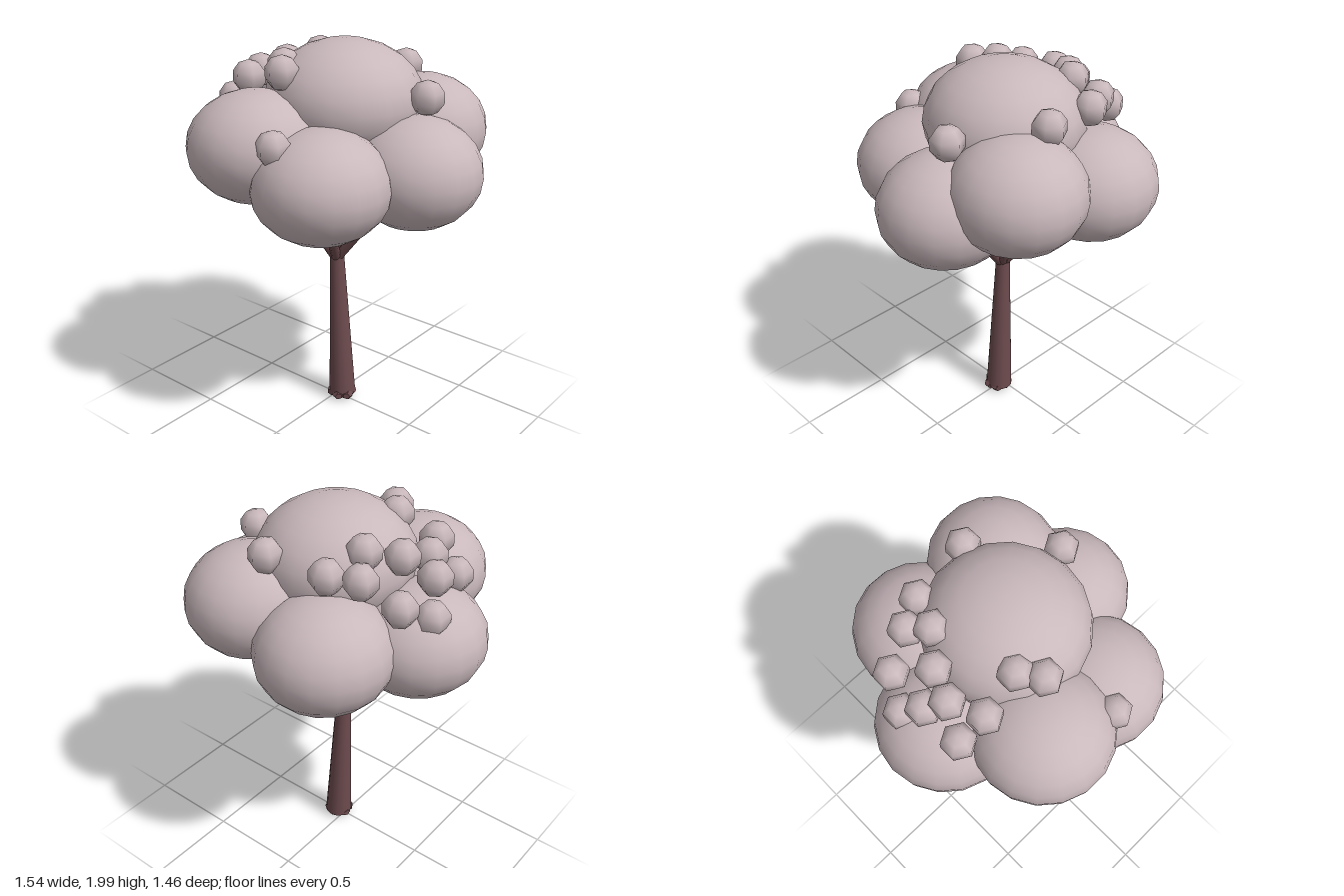
import * as THREE from 'three';

export function createModel() {
  const tree = new THREE.Group();
  tree.name = 'tree';
  const foliage = new THREE.MeshStandardMaterial({ color: 0xc9b8bc });
  foliage.name = 'dusty pink foliage';
  const bark = new THREE.MeshStandardMaterial({ color: 0x6d4b4e });
  bark.name = 'brown bark';

  const add = (name, geometry, material, position = [0, 0, 0], scale = [1, 1, 1]) => {
    const mesh = new THREE.Mesh(geometry, material);
    mesh.name = name;
    mesh.position.set(...position);
    mesh.scale.set(...scale);
    tree.add(mesh);
    return mesh;
  };

  // Tapered rod between two points
  const rod = (name, from, to, r0, r1, sides) => {
    const a = new THREE.Vector3(...from), b = new THREE.Vector3(...to);
    const dir = b.clone().sub(a);
    const mesh = add(name, new THREE.CylinderGeometry(r1, r0, dir.length(), sides), bark,
      a.clone().add(b).multiplyScalar(0.5).toArray());
    mesh.quaternion.setFromUnitVectors(new THREE.Vector3(0, 1, 0), dir.normalize());
  };

  // Foliage clumps: centre and radii
  const clumps = [
    ['frontLeftClump', [-0.175, 1.52, 0.395], [0.34, 0.275, 0.34]],
    ['frontRightClump', [0.205, 1.39, 0.365], [0.34, 0.275, 0.34]],
    ['sideClumpLeft', [0.43, 1.395, -0.07], [0.34, 0.28, 0.33]],
    ['sideClumpRight', [-0.43, 1.39, 0.015], [0.34, 0.275, 0.34]],
    ['backLeftClump', [0.265, 1.525, -0.37], [0.33, 0.28, 0.335]],
    ['backRightClump', [-0.2, 1.42, -0.4], [0.335, 0.28, 0.34]],
  ];
  const clumpGeometry = new THREE.SphereGeometry(1, 18, 12);
  for (const [name, centre, radii] of clumps) {
    add(name, clumpGeometry, foliage, centre, radii);
    // Branch from the fork into its clump
    const end = new THREE.Vector3(0, 0.84, 0).lerp(new THREE.Vector3(...centre), 0.85);
    rod('branch', [0, 0.84, 0], end.toArray(), 0.027, 0.02, 8);
  }
  add('crownClump', clumpGeometry, foliage, [0.02, 1.7, -0.04], [0.395, 0.3, 0.4]);

  // Small leaf tufts scattered over the crown
  const tuftGeometry = new THREE.SphereGeometry(0.087, 6, 5).rotateY(Math.PI / 2);
  const tufts = [
    [0.12, 1.82, -0.42], [0.455, 1.755, -0.12], [-0.2, 1.8, -0.38], [-0.335, 1.79, -0.31],
    [-0.27, 1.87, -0.2], [-0.5, 1.68, -0.24], [-0.58, 1.6, -0.1], [-0.385, 1.83, -0.07],
    [-0.52, 1.74, 0], [-0.44, 1.8, 0.07], [-0.505, 1.67, 0.2], [-0.37, 1.8, 0.23],
    [-0.16, 1.88, 0.2], [-0.085, 1.87, 0.3], [0.1, 1.6, 0.57],
  ];
  for (const p of tufts) add('leafTuft', tuftGeometry, foliage, p);

  // Leaning trunk
  rod('trunk', [0.035, 0.03, -0.01], [0, 0.86, -0.005], 0.073, 0.038, 12);

  // Root knobs around the foot
  const knob = new THREE.DodecahedronGeometry(0.034, 0);
  for (let i = 0; i < 6; i++) {
    const a = (i / 6) * Math.PI * 2 + 0.3;
    const root = add('rootKnob', knob, bark,
      [0.037 + 0.05 * Math.cos(a), 0.034, -0.002 + 0.045 * Math.sin(a)], [1, 0.9, 1]);
    root.rotation.y = i * 1.3;
  }
  return tree;
}
